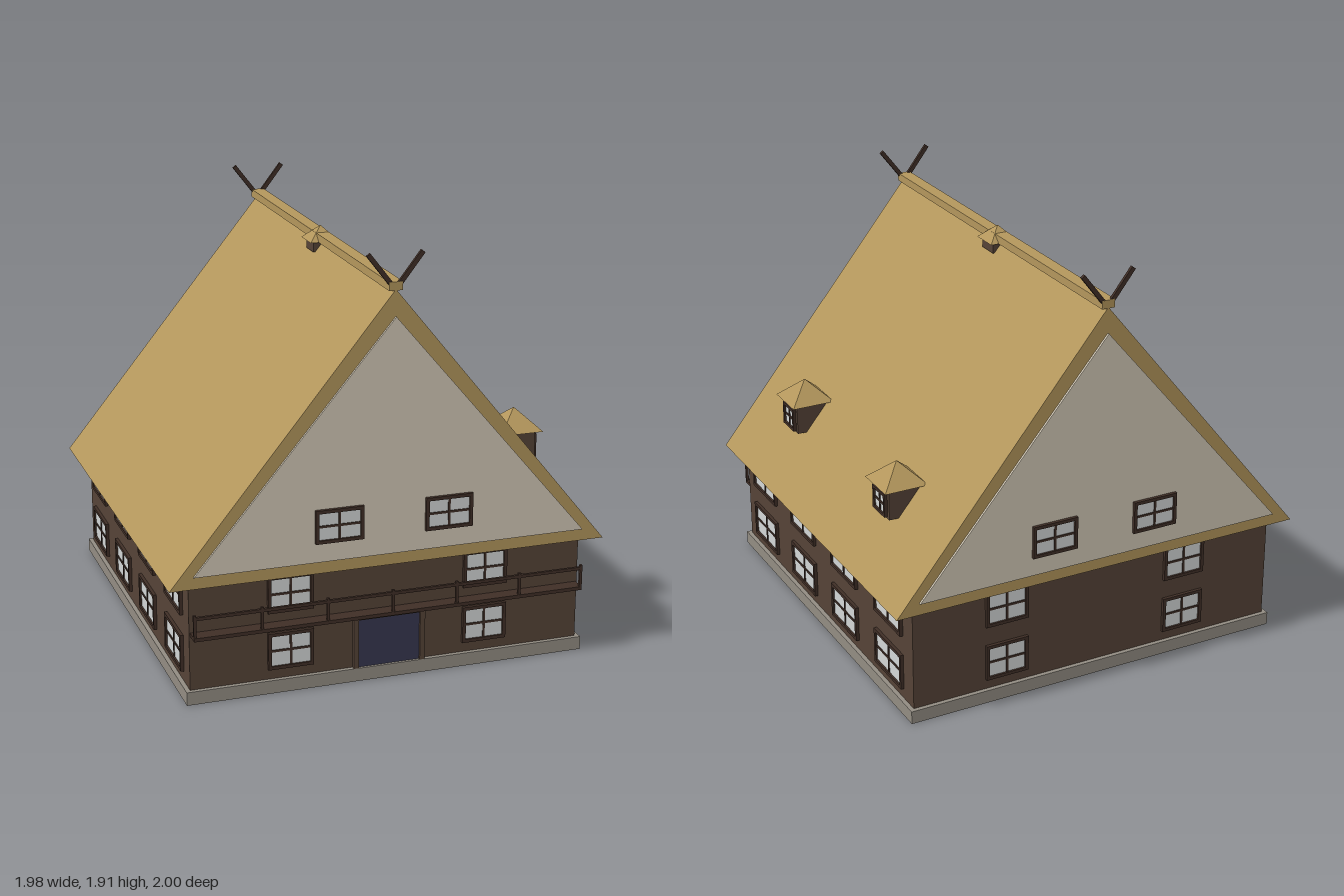
import * as THREE from 'three';

const mat = (name, color) => {
  const m = new THREE.MeshStandardMaterial({ color });
  m.name = name;
  return m;
};

export function createModel() {
  const thatch = mat('thatch', 0xb3965c);
  const wood = mat('wall wood', 0x554337);
  const trim = mat('dark trim', 0x3f2e26);
  const plaster = mat('gable plaster', 0xd3c9b7);
  const glass = mat('window glass', 0xd2d6d6);
  const stone = mat('foundation stone', 0x928c82);
  const paint = mat('door paint', 0x37374f);

  const house = new THREE.Group();
  house.name = 'farmhouse';

  const add = (parent, name, geo, material, x = 0, y = 0, z = 0) => {
    const m = new THREE.Mesh(geo, material);
    m.name = name;
    m.position.set(x, y, z);
    parent.add(m);
    return m;
  };
  const box = (parent, name, material, w, h, d, x, y, z) =>
    add(parent, name, new THREE.BoxGeometry(w, h, d), material, x, y, z);

  // Triangular prism centred on z
  const prism = (halfW, y0, y1, depth) => {
    const s = new THREE.Shape([
      new THREE.Vector2(-halfW, y0), new THREE.Vector2(halfW, y0), new THREE.Vector2(0, y1)]);
    return new THREE.ExtrudeGeometry(s, { depth, bevelEnabled: false }).translate(0, 0, -depth / 2);
  };

  // Square pyramid with hard edges, base on y = 0
  const pyramid = (half, h) => {
    const g = new THREE.ConeGeometry(half * Math.SQRT2, h, 4).rotateY(Math.PI / 4)
      .translate(0, h / 2, 0).toNonIndexed();
    g.computeVertexNormals();
    return g;
  };

  // Framed four-pane window; its back lies on the wall and it faces the given angle
  const addWindow = (parent, w, h, x, y, z, angle, bar = 0.015) => {
    const g = new THREE.Group();
    g.name = 'window';
    const d = 0.015;
    box(g, 'glass', glass, w - bar, h - bar, 0.006, 0, 0, 0.003);
    for (const s of [-1, 1]) {
      box(g, 'frameSide', trim, bar, h, d, s * (w - bar) / 2, 0, d / 2);
      box(g, 'frameRail', trim, w - 2 * bar, bar, d, 0, s * (h - bar) / 2, d / 2);
    }
    box(g, 'mullion', trim, 0.01, h - 2 * bar, 0.01, 0, 0, 0.005);
    box(g, 'crossbar', trim, w - 2 * bar, 0.01, 0.01, 0, 0, 0.005);
    g.position.set(x, y, z);
    g.rotation.y = angle;
    parent.add(g);
  };

  // Main body
  box(house, 'foundation', stone, 1.83, 0.06, 1.89, 0, 0.03, 0);
  box(house, 'walls', wood, 1.79, 0.49, 1.85, 0, 0.305, 0);
  add(house, 'roof', prism(0.99, 0.54, 1.755, 1.95), thatch);
  box(house, 'ridgeCap', thatch, 0.06, 0.037, 1.95, 0, 1.768, 0);

  // Gables with attic windows and crossed ridge horns
  for (const s of [-1, 1]) {
    const a = s > 0 ? 0 : Math.PI;
    add(house, 'gable', prism(0.885, 0.595, 1.64, 0.012), plaster, 0, 0, s * 0.979);
    for (const x of [-0.248, 0.248]) addWindow(house, 0.215, 0.15, x, 0.757, s * 0.985, a);
    for (const t of [-1, 1]) {
      const horn = box(house, 'ridgeHorn', trim, 0.02, 0.2, 0.014, t * 0.059, 1.828, s * 0.966);
      horn.rotation.z = -t * 0.66;
    }
  }

  // Two storeys of windows on all four walls
  for (const y of [0.191, 0.452]) {
    for (const s of [-1, 1]) {
      for (const x of [-0.447, 0.447]) {
        addWindow(house, 0.205, 0.168, x, y, s * 0.925, s > 0 ? 0 : Math.PI);
      }
      for (const z of [-0.695, -0.232, 0.232, 0.695]) {
        addWindow(house, 0.27, 0.168, s * 0.895, y, z, s * Math.PI / 2);
      }
    }
  }

  // Entrance door
  box(house, 'door', paint, 0.285, 0.225, 0.008, 0, 0.172, 0.929);
  for (const s of [-1, 1]) {
    box(house, 'doorPost', wood, 0.023, 0.25, 0.02, s * 0.153, 0.185, 0.935);
  }
  box(house, 'doorLintel', wood, 0.283, 0.025, 0.02, 0, 0.2975, 0.935);

  // Front balcony
  const balcony = new THREE.Group();
  balcony.name = 'balcony';
  house.add(balcony);
  box(balcony, 'deck', trim, 1.78, 0.016, 0.065, 0, 0.316, 0.957);
  box(balcony, 'handrail', trim, 1.78, 0.014, 0.012, 0, 0.41, 0.982);
  for (let i = -3; i <= 3; i++) {
    box(balcony, 'railPost', trim, 0.012, 0.105, 0.012, i * 0.295, 0.373, 0.982);
  }

  // Dormers on the left roof slope
  for (const z of [-0.5, 0.5]) {
    const dormer = new THREE.Group();
    dormer.name = 'dormer';
    dormer.position.set(0.755, 0, z);
    box(dormer, 'dormerBody', wood, 0.15, 0.14, 0.155, 0, 0.86, 0);
    add(dormer, 'dormerRoof', pyramid(0.103, 0.097), thatch, 0, 0.929, 0);
    addWindow(dormer, 0.12, 0.11, 0.075, 0.853, 0, Math.PI / 2, 0.013);
    house.add(dormer);
  }

  // Smoke vent on the ridge
  box(house, 'smokeVent', wood, 0.1, 0.05, 0.1, 0, 1.728, 0);
  add(house, 'ventRoof', pyramid(0.068, 0.065), thatch, 0, 1.75, 0);

  return house;
}
